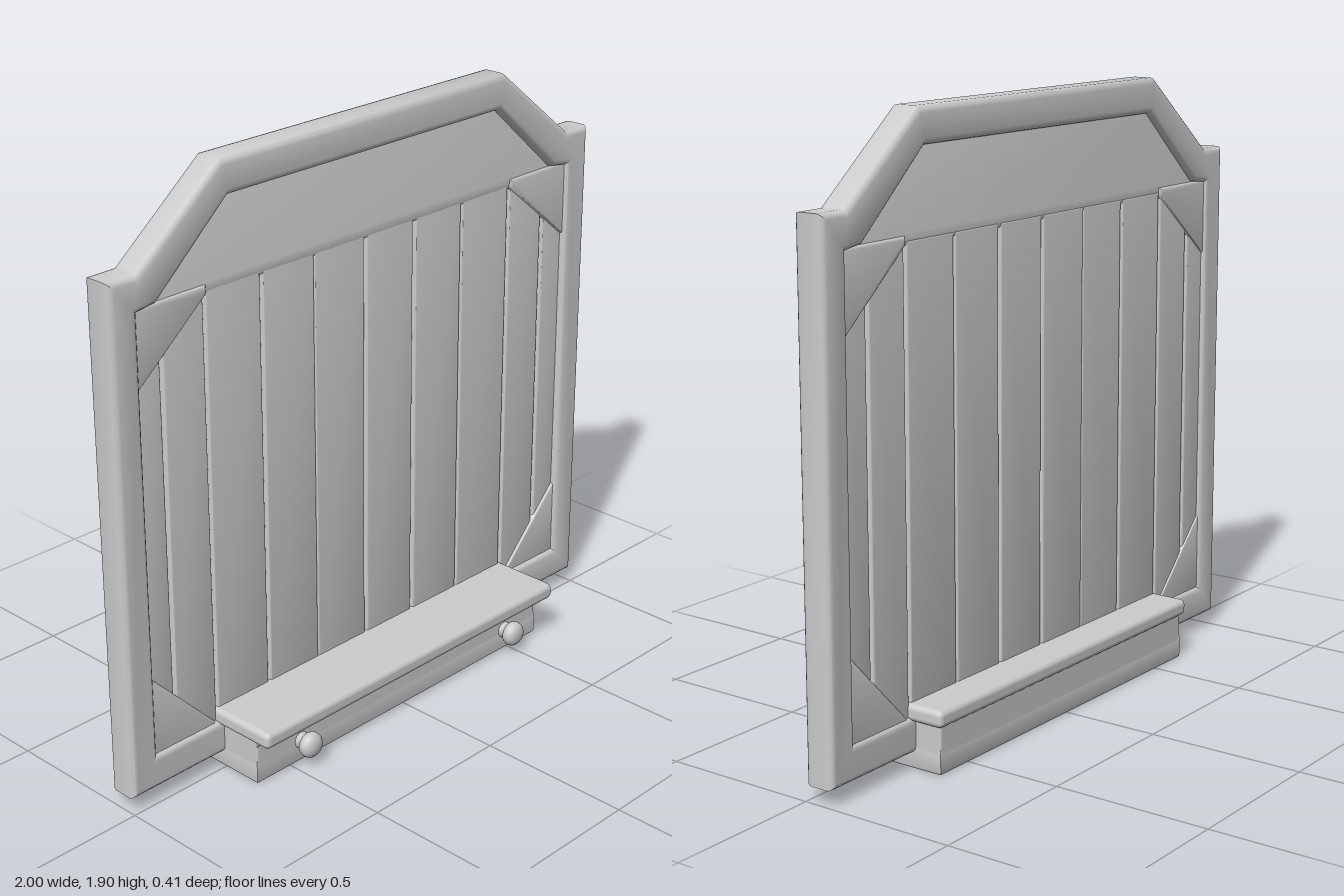
import * as THREE from 'three';
import { toCreasedNormals } from 'three/addons/utils/BufferGeometryUtils.js';
import { RoundedBoxGeometry } from 'three/addons/geometries/RoundedBoxGeometry.js';

const material = new THREE.MeshStandardMaterial({ color: 0xcccccc });

const toPoints = (list) => list.map(([x, y]) => new THREE.Vector2(x, y));

// Mirrors the right half of an outline (bottom to top) to a closed outline
const mirrored = (half) => [...half, ...half.map(([x, y]) => [-x, y]).reverse()];

const rect = (x0, y0, x1, y1) => [[x0, y0], [x1, y0], [x1, y1], [x0, y1]];

// Flat slab with rounded rims between z0 and z1
function slab(outline, z0, z1, bevel, hole) {
  const shape = new THREE.Shape(toPoints(outline));
  if (hole) shape.holes.push(new THREE.Path(toPoints(hole)));
  const geometry = new THREE.ExtrudeGeometry(shape, {
    depth: z1 - z0 - 2 * bevel,
    bevelThickness: bevel,
    bevelSize: bevel,
    bevelOffset: -bevel,
    bevelSegments: 3,
  });
  geometry.translate(0, 0, z0 + bevel);
  return toCreasedNormals(geometry, 0.7);
}

function roundedBox(x0, x1, y0, y1, z0, z1, radius) {
  const geometry = new RoundedBoxGeometry(x1 - x0, y1 - y0, z1 - z0, 3, radius);
  return geometry.translate((x0 + x1) / 2, (y0 + y1) / 2, (z0 + z1) / 2);
}

export function createModel() {
  const model = new THREE.Group();
  const add = (name, geometry, parent = model) => {
    const mesh = new THREE.Mesh(geometry, material);
    mesh.name = name;
    parent.add(mesh);
    return mesh;
  };

  // Outer frame with clipped upper corners and small shoulders
  const outer = mirrored([[1, 0.05], [1, 1.65], [0.9, 1.65], [0.59, 1.9]]);
  const inner = mirrored([[0.9, 0.16], [0.9, 1.54], [0.83, 1.55], [0.56, 1.79]]);
  add('frame', slab(outer, -0.1, 0, 0.02, inner));

  // Header panel above the planks
  const header = mirrored([[0.64, 1.52], [0.91, 1.52], [0.91, 1.55], [0.84, 1.56], [0.57, 1.8]]);
  add('headerPanel', slab(header, -0.083, -0.022, 0.006));

  // Vertical planks, divided by seams given as [x, gap width]
  const planks = new THREE.Group();
  planks.name = 'planks';
  model.add(planks);
  const seams = [
    [-0.92, 0], [-0.808, 0.01], [-0.645, 0.008], [-0.428, 0.008], [-0.218, 0],
    [-0.005, 0.009], [0.207, 0.01], [0.42, 0.005], [0.64, 0.009], [0.805, 0.01], [0.92, 0],
  ];
  for (let i = 0; i < seams.length - 1; i++) {
    const x0 = seams[i][0] + seams[i][1] / 2;
    const x1 = seams[i + 1][0] - seams[i + 1][1] / 2;
    add('plank', slab(rect(x0, 0.13, x1, 1.535), -0.085, -0.022, 0.007), planks);
  }

  // Corner braces and the ledge along the bottom rail
  for (const s of [-1, 1]) {
    const flip = (list) => (s > 0 ? list : list.map(([x, y]) => [-x, y]).reverse());
    const low = flip([[0.64, 0.14], [0.92, 0.14], [0.92, 0.43]]);
    const high = flip([[0.92, 1.29], [0.92, 1.55], [0.64, 1.55], [0.64, 1.52]]);
    add('lowerBrace', slab(low, -0.09, -0.014, 0.012));
    add('upperBrace', slab(high, -0.09, -0.014, 0.012));
  }

  // Tray at the foot, hollow from below
  const tray = new THREE.Group();
  tray.name = 'tray';
  model.add(tray);
  const wall = slab(rect(-0.64, -0.14, 0.635, 0.19), 0, 0.08, 0.008, rect(-0.6, -0.105, 0.595, 0.155));
  add('trayWall', wall.rotateX(-Math.PI / 2), tray);
  add('trayBody', roundedBox(-0.64, 0.635, 0.055, 0.175, -0.19, 0.14, 0.008), tray);
  add('trayLip', roundedBox(-0.655, 0.652, 0.147, 0.2, -0.205, 0.203, 0.018), tray);

  // Cove that blends the front wall into the lip
  const cove = new THREE.Shape();
  cove.moveTo(-0.13, 0.12);
  cove.lineTo(-0.14, 0.125);
  cove.quadraticCurveTo(-0.143, 0.147, -0.17, 0.15);
  cove.lineTo(-0.13, 0.16);
  cove.closePath();
  const coveGeometry = new THREE.ExtrudeGeometry(cove, { depth: 1.27, bevelEnabled: false });
  coveGeometry.rotateY(Math.PI / 2).translate(-0.637, 0, 0);
  add('trayCove', toCreasedNormals(coveGeometry, 0.7), tray);

  // Two round knobs on the front of the tray
  const profile = toPoints([
    [0.03, -0.01], [0.024, 0.01], [0.026, 0.018], [0.037, 0.026], [0.041, 0.038],
    [0.039, 0.05], [0.03, 0.06], [0.016, 0.065], [0, 0.066],
  ]);
  for (const x of [-0.455, 0.48]) {
    const knob = add('knob', new THREE.LatheGeometry(profile, 28), tray);
    knob.rotation.x = Math.PI / 2;
    knob.position.set(x, 0.072, 0.14);
  }

  return model;
}
